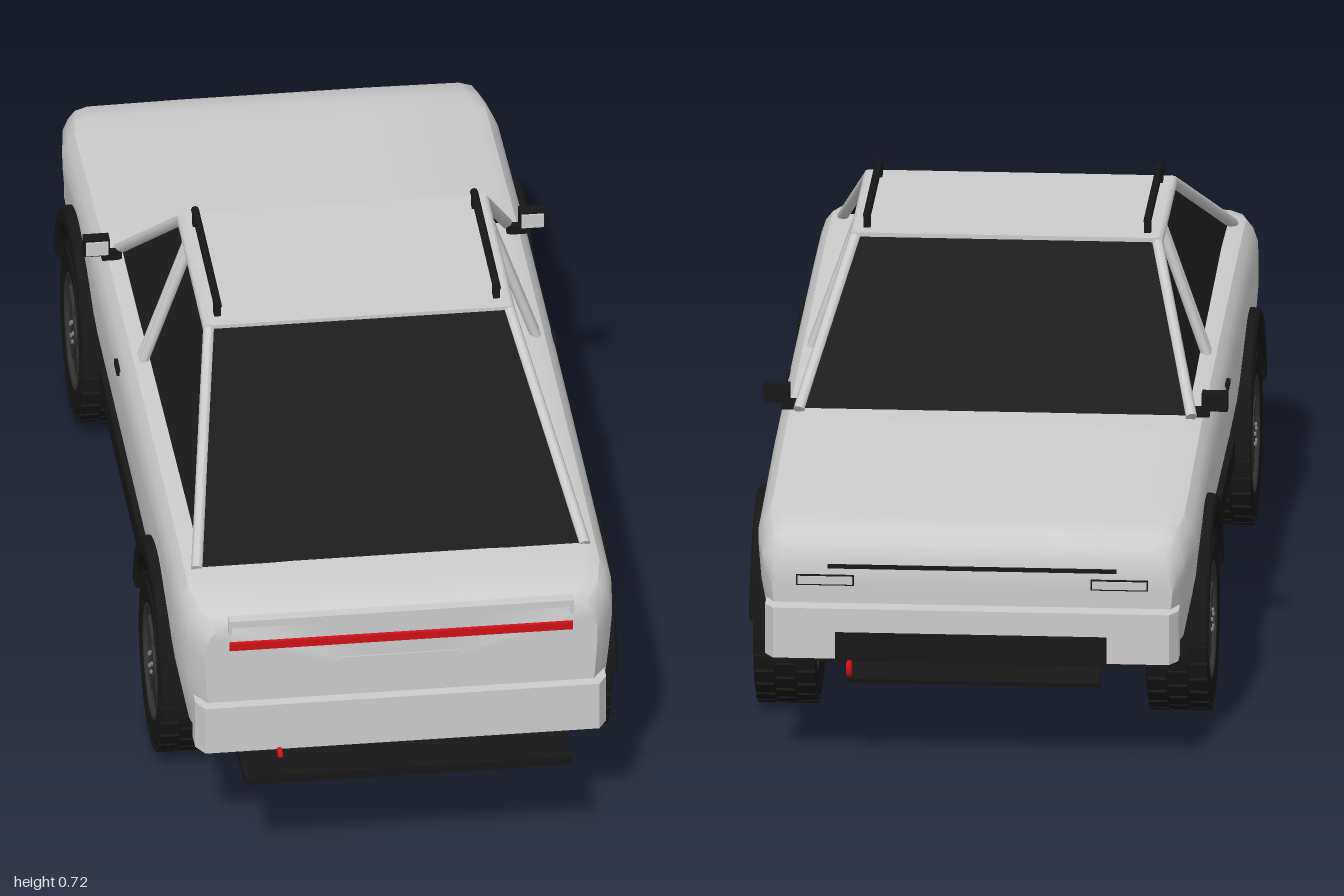
import * as THREE from 'three';
import { toCreasedNormals } from 'three/addons/utils/BufferGeometryUtils.js';

const mat = (name, color, side = THREE.FrontSide) => {
  const m = new THREE.MeshStandardMaterial({ color, side });
  m.name = name;
  return m;
};
const PAINT = mat('silver paint', 0xcccccc, THREE.DoubleSide);
const GLASS = mat('dark glass', 0x1c1c1c, THREE.DoubleSide);
const BLACK = mat('black trim', 0x171717);
const RIM = mat('rim grey', 0x323232);
const STEEL = mat('steel grey', 0x7c7c7c);
const RED = mat('red lamp', 0xd01018);

const AXLES = [0.538, -0.568], ARCH_Y = 0.165, ARCH_R = 0.177, SILL = 0.2;

// piecewise-linear lookup in a list of [key, value]
function lerpTable(t, k) {
  if (k <= t[0][0]) return t[0][1];
  for (let i = 1; i < t.length; i++) {
    const [a, va] = t[i - 1], [b, vb] = t[i];
    if (k <= b) return va + (vb - va) * (k - a) / (b - a);
  }
  return t[t.length - 1][1];
}
const TOP = [[-0.936, 0.365], [-0.925, 0.39], [-0.9, 0.407], [-0.85, 0.417], [-0.4, 0.45], [0, 0.462], [0.6, 0.475], [0.8, 0.473], [0.86, 0.464], [0.885, 0.455], [0.898, 0.437]];
const TAPER = [[-0.936, 0.92], [-0.9, 0.965], [-0.8, 1], [0.8, 1], [0.86, 0.97], [0.898, 0.9]];
const WIDTH = [[0.2, 0.357], [0.285, 0.374], [0.36, 0.38], [0.42, 0.379], [0.48, 0.372]];

export function createModel() {
  const car = new THREE.Group();
  car.name = 'hatchbackCar';

  const add = (name, geo, m, parent = car) => {
    const mesh = new THREE.Mesh(geo, m);
    mesh.name = name;
    parent.add(mesh);
    return mesh;
  };
  const box = (name, m, x0, x1, y0, y1, z0, z1, parent = car) => {
    const b = add(name, new THREE.BoxGeometry(x1 - x0, y1 - y0, z1 - z0), m, parent);
    b.position.set((x0 + x1) / 2, (y0 + y1) / 2, (z0 + z1) / 2);
    return b;
  };
  // round bar between two points
  const bar = (name, m, a, b, r, sides = 8) => {
    const A = new THREE.Vector3(...a), B = new THREE.Vector3(...b), d = B.clone().sub(A);
    const mesh = add(name, new THREE.CylinderGeometry(r, r, d.length(), sides), m);
    mesh.position.copy(A).add(B).multiplyScalar(0.5);
    mesh.quaternion.setFromUnitVectors(new THREE.Vector3(0, 1, 0), d.normalize());
    return mesh;
  };
  // flat convex panel
  const panel = (name, m, pts) => {
    const g = new THREE.BufferGeometry(), v = [];
    for (let i = 1; i < pts.length - 1; i++) v.push(...pts[0], ...pts[i], ...pts[i + 1]);
    g.setAttribute('position', new THREE.Float32BufferAttribute(v, 3));
    g.computeVertexNormals();
    return add(name, g, m);
  };

  // body shell: cross-sections lofted along z, lower edge rising over the wheels
  const stations = TOP.map(p => p[0]).concat([-0.8, 0.2]);
  const t0 = Math.asin((SILL - ARCH_Y) / ARCH_R);
  for (const c of AXLES) for (let i = 0; i <= 16; i++) {
    stations.push(c + ARCH_R * Math.cos(t0 + (Math.PI - 2 * t0) * i / 16));
  }
  stations.sort((a, b) => a - b);
  const section = z => {
    let low = SILL;
    for (const c of AXLES) {
      const d = ARCH_R ** 2 - (z - c) ** 2;
      if (d > 0) low = Math.max(low, ARCH_Y + Math.sqrt(d));
    }
    const T = lerpTable(TOP, z), k = lerpTable(TAPER, z), half = [];
    for (let i = 0; i <= 6; i++) {
      const y = low + (T - 0.045 - low) * i / 6;
      half.push([lerpTable(WIDTH, y) * k, y]);
    }
    half.push([0.37 * k, T - 0.022], [0.358 * k, T - 0.007], [0.335 * k, T], [0.17 * k, T + 0.002]);
    return [...half, ...half.slice().reverse().map(([x, y]) => [-x, y])];
  };
  const pos = [], idx = [];
  const n = section(0).length;
  stations.forEach(z => section(z).forEach(([x, y]) => pos.push(x, y, z)));
  for (let i = 0; i < stations.length - 1; i++) for (let j = 0; j < n - 1; j++) {
    const a = i * n + j, b = a + n;
    idx.push(a, a + 1, b, a + 1, b + 1, b);
  }
  const last = (stations.length - 1) * n, mid = pos.length / 3;
  pos.push(0, 0.32, stations[0], 0, 0.32, stations[stations.length - 1]);
  for (let j = 0; j < n; j++) {
    const k = (j + 1) % n;
    idx.push(mid, k, j, mid + 1, last + j, last + k);
  }
  const shell = new THREE.BufferGeometry();
  shell.setAttribute('position', new THREE.Float32BufferAttribute(pos, 3));
  shell.setIndex(idx);
  add('bodyShell', toCreasedNormals(shell, 0.6), PAINT);

  // floor
  box('floorCentre', PAINT, -0.28, 0.28, 0.19, 0.2, -0.92, 0.88);
  box('floorMiddle', PAINT, -0.355, 0.355, 0.191, 0.2, -0.39, 0.36);
  for (const [a, b] of [[-0.92, -0.745], [0.715, 0.88]]) box('floorEnd', PAINT, -0.345, 0.345, 0.191, 0.2, a, b);

  // cabin: roof, pillars and glass
  box('roof', PAINT, -0.265, 0.265, 0.677, 0.691, -0.062, 0.312);
  const F = [0.34, 0.455, -0.345], FT = [0.262, 0.682, -0.06], R = [0.338, 0.472, 0.755], RT = [0.262, 0.682, 0.31];
  const flip = ([x, y, z]) => [-x, y, z];
  const inset = ([x, y, z]) => [x - 0.008, y, z];
  panel('windshield', GLASS, [F, FT, flip(FT), flip(F)].map(p => [p[0] * 0.97, p[1] + 0.003, p[2]]));
  panel('rearWindow', GLASS, [R, flip(R), flip(RT), RT].map(p => [p[0] * 0.97, p[1] + 0.003, p[2]]));
  for (const s of [1, -1]) {
    const m = ([x, y, z]) => [s * x, y, z];
    bar('frontPillar', PAINT, m(F), m(FT), 0.01);
    bar('rearPillar', PAINT, m(R), m(RT), 0.01);
    for (const z of [0.04, 0.02]) bar('doorPillar', PAINT, m([0.342, 0.458, z - 0.004]), m([0.264, 0.682, z]), 0.009);
    bar('roofSideFrame', PAINT, m(FT), m(RT), 0.01);
  }
  panel('sideGlass', GLASS, [F, FT, RT, R].map(inset).map(flip));
  for (const x of [0.18, -0.18]) {
    box('seatBack', BLACK, x - 0.065, x + 0.065, 0.44, 0.56, 0.17, 0.23);
    box('headRest', BLACK, x - 0.035, x + 0.035, 0.56, 0.595, 0.18, 0.22);
  }
  box('dashboard', BLACK, -0.305, 0.305, 0.44, 0.477, -0.31, -0.2);

  // bumpers
  const bumper = (name, z0, z1, dir) => {
    const s = new THREE.Shape(), e = dir > 0 ? z1 : z0, i = dir > 0 ? z0 : z1;
    s.moveTo(-0.358, i);
    s.lineTo(-0.358, e - dir * 0.025);
    s.lineTo(-0.343, e);
    s.lineTo(0.343, e);
    s.lineTo(0.358, e - dir * 0.025);
    s.lineTo(0.358, i);
    const g = new THREE.ExtrudeGeometry(s, { depth: 0.09, bevelEnabled: false });
    g.rotateX(Math.PI / 2);
    add(name, g, PAINT).position.y = 0.287;
  };
  bumper('rearBumper', 0.855, 0.918, 1);
  bumper('frontBumper', -0.972, -0.9, -1);
  box('frontBumperInsert', BLACK, -0.235, 0.235, 0.198, 0.245, -0.979, -0.97);
  box('frontBumperUnderside', BLACK, -0.34, 0.34, 0.19, 0.198, -0.965, -0.9);

  // rear fascia
  box('rearLightBar', RED, -0.299, 0.299, 0.393, 0.407, 0.896, 0.905);
  box('rearLip', PAINT, -0.3, 0.3, 0.44, 0.453, 0.87, 0.907);
  for (const s of [1, -1]) box('rearLipEnd', PAINT, s * 0.298 - 0.003, s * 0.298 + 0.003, 0.425, 0.45, 0.89, 0.905);
  box('plateRecess', PAINT, -0.103, 0.103, 0.317, 0.363, 0.893, 0.9);

  // front fascia
  box('frontLightStrip', BLACK, -0.25, 0.25, 0.35, 0.357, -0.94, -0.934);
  for (const s of [1, -1]) {
    const x = s * 0.255;
    box('headlampRim', BLACK, x - 0.05, x + 0.05, 0.319, 0.338, -0.939, -0.934);
    box('headlamp', PAINT, x - 0.0475, x + 0.0475, 0.3215, 0.3355, -0.941, -0.936);
    bar('rearTowEye', PAINT, [s * 0.215, 0.174, 0.83], [s * 0.215, 0.168, 0.93], 0.009, 12);
  }
  const hook = (name, x, y, z) => {
    const h = add(name, new THREE.TorusGeometry(0.01, 0.005, 8, 16), RED);
    h.position.set(x, y, z);
    h.rotation.y = Math.PI / 2;
  };
  hook('frontTowHook', 0.21, 0.184, -0.985);
  hook('rearTowHook', -0.215, 0.19, 0.928);

  // rear step and front skid plate
  for (let i = 0; i < 5; i++) box('rearStepPlank', BLACK, -0.285 + i * 0.114, -0.171 + i * 0.114, 0.178, 0.194, 0.885, 1);
  box('rearStepBase', BLACK, -0.285, 0.285, 0.172, 0.18, 0.8, 0.9);
  const skid = box('skidPlate', BLACK, -0.218, 0.218, 0.157, 0.165, -0.912, -0.72);
  skid.rotation.x = -0.24;

  // wheels, flares and side trim, mirrored
  const flareShape = new THREE.Shape();
  const a0 = Math.asin((SILL + 0.006 - ARCH_Y) / 0.206), a1 = Math.asin((SILL + 0.006 - ARCH_Y) / 0.183);
  flareShape.absarc(0, 0, 0.206, a0, Math.PI - a0, false);
  flareShape.absarc(0, 0, 0.183, Math.PI - a1, a1, true);
  const flareGeo = new THREE.ExtrudeGeometry(flareShape, { depth: 0.016, bevelEnabled: true, bevelSize: 0.007, bevelThickness: 0.014, bevelSegments: 2, curveSegments: 24 });
  flareGeo.rotateY(Math.PI / 2);
  const tyreProfile = [[0.1, -0.05], [0.14, -0.055], [0.151, -0.045], [0.153, 0], [0.151, 0.045], [0.14, 0.055], [0.103, 0.052], [0.1, 0.035], [0.1, -0.05]];
  const tyreGeo = toCreasedNormals(new THREE.LatheGeometry(tyreProfile.map(p => new THREE.Vector2(...p)), 40), 0.6);
  tyreGeo.rotateZ(-Math.PI / 2);

  const makeWheel = () => {
    const w = new THREE.Group();
    w.name = 'wheel';
    add('tyre', tyreGeo, BLACK, w);
    for (let i = 0; i < 30; i++) for (let r = 0; r < 3; r++) {
      const a = (i + (r % 2) * 0.5) / 30 * Math.PI * 2;
      const b = add('treadBlock', new THREE.BoxGeometry(0.032, 0.01, 0.026), BLACK, w);
      b.position.set((r - 1) * 0.036, Math.cos(a) * 0.152, Math.sin(a) * 0.152);
      b.rotation.x = a;
    }
    const disc = (name, m, r, x, h) => {
      const d = add(name, new THREE.CylinderGeometry(r, r, h, 32), m, w);
      d.rotation.z = Math.PI / 2;
      d.position.x = x;
    };
    disc('rimBack', BLACK, 0.101, 0.015, 0.02);
    disc('innerDisc', STEEL, 0.101, -0.04, 0.012);
    disc('hub', RIM, 0.03, 0.037, 0.026);
    const lip = add('rimLip', new THREE.TorusGeometry(0.1, 0.006, 8, 40), RIM, w);
    lip.rotation.y = Math.PI / 2;
    lip.position.x = 0.047;
    for (let i = 0; i < 5; i++) {
      const a = i / 5 * Math.PI * 2;
      const s = add('spoke', new THREE.BoxGeometry(0.018, 0.08, 0.026), RIM, w);
      s.position.set(0.037, Math.cos(a) * 0.06, Math.sin(a) * 0.06);
      s.rotation.x = a;
      const nut = add('wheelNut', new THREE.CylinderGeometry(0.004, 0.004, 0.006, 6), STEEL, w);
      nut.position.set(0.051, Math.cos(a) * 0.018, Math.sin(a) * 0.018);
      nut.rotation.z = Math.PI / 2;
    }
    return w;
  };
  for (const s of [1, -1]) {
    const side = new THREE.Group();
    side.name = s > 0 ? 'leftSide' : 'rightSide';
    side.rotation.y = s > 0 ? 0 : Math.PI; // a half turn keeps face winding intact
    car.add(side);
    for (const z of AXLES) {
      const w = makeWheel();
      w.position.set(0.34, 0.158, s * z);
      side.add(w);
      add('wheelFlare', flareGeo, BLACK, side).position.set(0.368, ARCH_Y, s * z);
    }
    const b = (name, m, x0, x1, y0, y1, z0, z1) => box(name, m, x0, x1, y0, y1, Math.min(s * z0, s * z1), Math.max(s * z0, s * z1), side);
    b('sillGuard', BLACK, 0.335, 0.373, 0.18, 0.226, -0.33, 0.29);
    b('doorHandle', BLACK, 0.374, 0.384, 0.411, 0.421, -0.04, 0.002);
    b('mirrorHousing', BLACK, 0.357, 0.402, 0.463, 0.495, -0.336, -0.312);
    b('mirrorArm', BLACK, 0.335, 0.37, 0.45, 0.467, -0.33, -0.317);
    b('mirrorFace', PAINT, 0.36, 0.399, 0.466, 0.492, -0.313, -0.309);
    bar('roofRail', BLACK, [s * 0.243, 0.714, -0.037], [s * 0.243, 0.714, 0.287], 0.007);
    for (const z of [-0.025, 0.275]) b('railFoot', BLACK, 0.237, 0.249, 0.69, 0.712, z - 0.008, z + 0.008);
  }
  return car;
}
